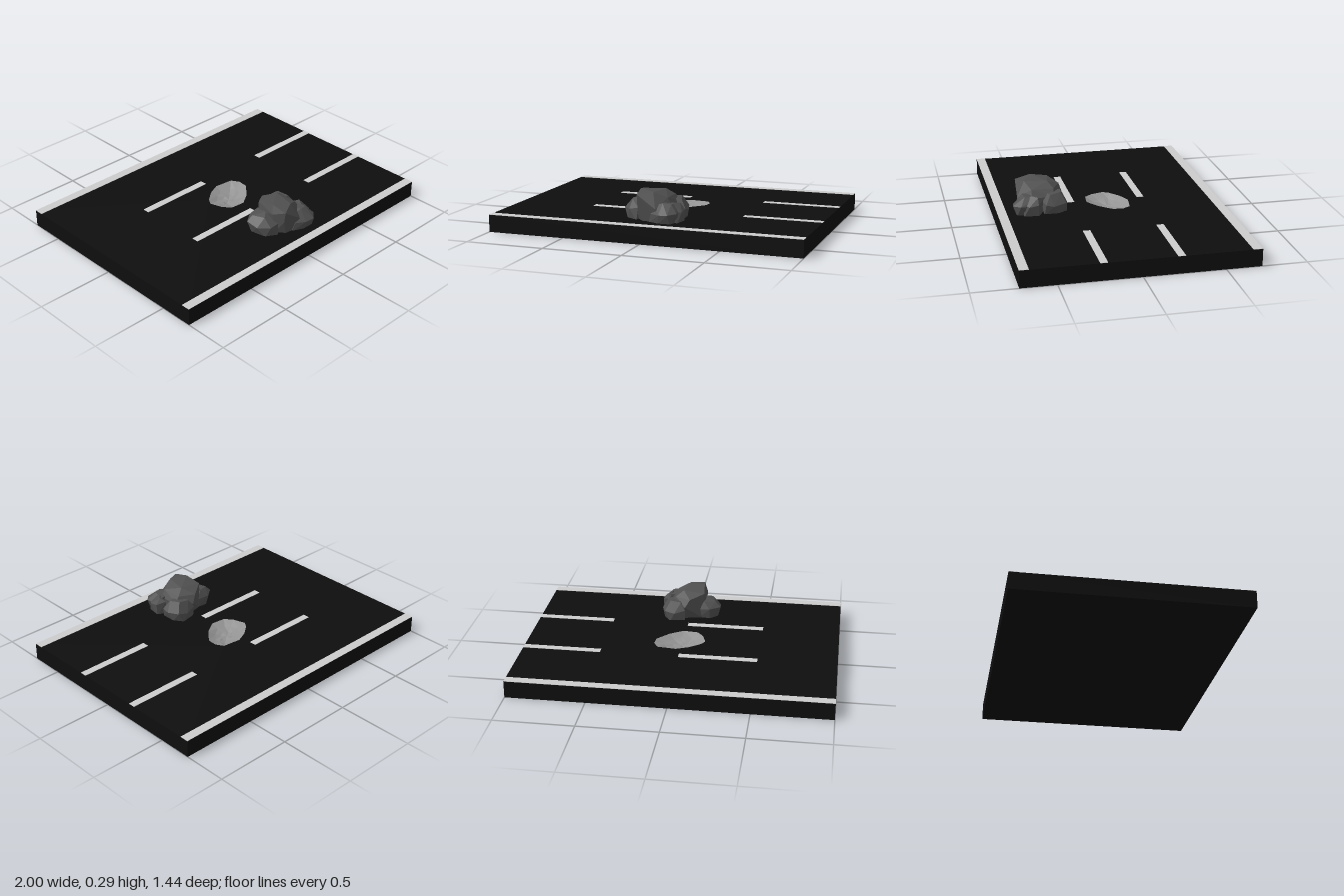
import * as THREE from 'three';
import { ConvexGeometry } from 'three/addons/geometries/ConvexGeometry.js';

const ROAD_TOP = 0.109, HALF_X = 1, HALF_Z = 0.72;

// Outline of the pothole as [x, z]
const POTHOLE = [
  [-0.145, -0.01], [-0.12, 0.07], [-0.08, 0.12], [0.015, 0.13], [0.1, 0.075], [0.175, -0.01],
  [0.18, -0.075], [0.15, -0.125], [0.03, -0.14], [-0.05, -0.105], [-0.12, -0.05],
];

// Boulders as hull corners [x, y, z]
const BOULDERS = {
  mainBoulder: [
    [-0.09, 0.1, 0.36], [-0.09, 0.1, 0.5], [-0.04, 0.1, 0.56], [0.1, 0.1, 0.58], [0.13, 0.1, 0.45], [0.1, 0.1, 0.32],
    [-0.1, 0.22, 0.39], [-0.1, 0.24, 0.5], [-0.07, 0.2, 0.57], [0.05, 0.19, 0.585], [0.13, 0.2, 0.5], [0.13, 0.21, 0.36], [0.03, 0.2, 0.295],
    [-0.09, 0.275, 0.37], [-0.08, 0.295, 0.48], [-0.07, 0.272, 0.58], [0.02, 0.285, 0.535],
    [0.05, 0.285, 0.39], [0.1, 0.25, 0.36], [0.1, 0.25, 0.5], [0, 0.25, 0.31],
  ],
  rightBoulder: [
    [-0.18, 0.1, 0.4], [-0.16, 0.1, 0.5], [-0.09, 0.1, 0.54], [-0.05, 0.1, 0.36], [-0.13, 0.1, 0.35],
    [-0.2, 0.18, 0.38], [-0.195, 0.165, 0.46], [-0.14, 0.17, 0.525], [-0.08, 0.18, 0.53], [-0.13, 0.18, 0.33], [-0.06, 0.17, 0.35],
    [-0.165, 0.215, 0.39], [-0.14, 0.22, 0.47], [-0.1, 0.235, 0.44], [-0.09, 0.225, 0.36],
  ],
  backBoulder: [
    [0.03, 0.1, 0.3], [0.13, 0.1, 0.28], [0.17, 0.1, 0.34], [0.17, 0.1, 0.43], [0.06, 0.1, 0.43],
    [0.03, 0.18, 0.29], [0.1, 0.16, 0.275], [0.165, 0.17, 0.29], [0.19, 0.16, 0.37], [0.185, 0.17, 0.42], [0.12, 0.18, 0.44],
    [0.06, 0.23, 0.31], [0.13, 0.235, 0.32], [0.15, 0.225, 0.39], [0.08, 0.23, 0.42],
  ],
  frontBoulder: [
    [0, 0.1, 0.57], [0.07, 0.1, 0.6], [0.15, 0.1, 0.6], [0.17, 0.1, 0.5], [0.06, 0.1, 0.46],
    [0.02, 0.16, 0.58], [0.08, 0.16, 0.615], [0.14, 0.165, 0.625], [0.185, 0.17, 0.58], [0.18, 0.17, 0.47],
    [0.04, 0.21, 0.55], [0.09, 0.225, 0.56], [0.14, 0.22, 0.55], [0.15, 0.215, 0.47], [0.07, 0.22, 0.47],
  ],
  smallBoulder: [
    [0.11, 0.1, 0.53], [0.18, 0.1, 0.56], [0.195, 0.1, 0.47], [0.14, 0.1, 0.44],
    [0.11, 0.19, 0.52], [0.15, 0.18, 0.565], [0.2, 0.17, 0.53], [0.2, 0.18, 0.47], [0.15, 0.2, 0.435],
    [0.14, 0.225, 0.51], [0.17, 0.22, 0.47],
  ],
};

function material(color, options = {}) {
  return new THREE.MeshStandardMaterial({ color, ...options });
}

function addMesh(parent, name, geometry, mat) {
  const mesh = new THREE.Mesh(geometry, mat);
  mesh.name = name;
  parent.add(mesh);
  return mesh;
}

// Faceted shallow bowl: rings shrinking from the outline down to a centre point
function potholeBowl() {
  const rings = [[1, 0], [0.62, 0.022], [0.3, 0.034]];
  const n = POTHOLE.length, cx = 0.015, cz = -0.005;
  const pos = [], index = [];
  rings.forEach(([s, depth], r) => POTHOLE.forEach(([x, z], i) => {
    const wobble = r ? 0.004 * Math.sin(i * 2.3 + r) : 0;
    pos.push(cx + (x - cx) * s, ROAD_TOP - depth + wobble, cz + (z - cz) * s);
  }));
  pos.push(cx, ROAD_TOP - 0.038, cz);
  for (let i = 0; i < n; i++) {
    const j = (i + 1) % n;
    for (let r = 0; r < rings.length - 1; r++) {
      const a = r * n + i, b = r * n + j;
      index.push(a, b, a + n, b, b + n, a + n);
    }
    const last = (rings.length - 1) * n;
    index.push(last + i, last + j, rings.length * n);
  }
  const indexed = new THREE.BufferGeometry();
  indexed.setAttribute('position', new THREE.Float32BufferAttribute(pos, 3));
  indexed.setIndex(index);
  const geometry = indexed.toNonIndexed();
  geometry.computeVertexNormals();
  return geometry;
}

export function createModel() {
  const group = new THREE.Group();
  group.name = 'roadSection';
  const asphalt = material(0x0e0e0e);
  const paint = material(0xcccccc);
  const stone = material(0x505050, { flatShading: true });
  const gravel = material(0x959595, { flatShading: true, side: THREE.DoubleSide });

  // Road slab with the pothole cut out of its top
  const outline = new THREE.Shape([
    [-HALF_X, -HALF_Z], [HALF_X, -HALF_Z], [HALF_X, HALF_Z], [-HALF_X, HALF_Z],
  ].map(([x, y]) => new THREE.Vector2(x, y)));
  const holePoints = POTHOLE.map(([x, z]) => new THREE.Vector2(x, -z));
  outline.holes.push(new THREE.Path(holePoints));
  const slab = new THREE.ExtrudeGeometry(outline, { depth: ROAD_TOP, bevelEnabled: false });
  slab.rotateX(-Math.PI / 2);
  addMesh(group, 'roadSlab', slab, asphalt);

  // Underside closing the cut-out, and the bowl itself
  const plug = new THREE.ShapeGeometry(new THREE.Shape(POTHOLE.map(([x, z]) => new THREE.Vector2(x, z))));
  plug.rotateX(Math.PI / 2);
  addMesh(group, 'slabUnderside', plug, asphalt);
  addMesh(group, 'pothole', potholeBowl(), gravel);

  // Painted edge lines and lane dashes
  const addLine = (name, x, z, length, width) => {
    const line = addMesh(group, name, new THREE.BoxGeometry(length, 0.002, width), paint);
    line.position.set(x, ROAD_TOP + 0.001, z);
  };
  for (const side of [-1, 1]) {
    addLine('edgeLine', 0, side * 0.691, 2, 0.058);
    for (const x of [-0.25, 0.75]) addLine('laneDash', x, side * 0.23, 0.5, 0.046);
  }

  // Pile of boulders
  const pile = new THREE.Group();
  pile.name = 'boulderPile';
  for (const [name, points] of Object.entries(BOULDERS)) {
    addMesh(pile, name, new ConvexGeometry(points.map((p) => new THREE.Vector3(...p))), stone);
  }
  group.add(pile);
  return group;
}
